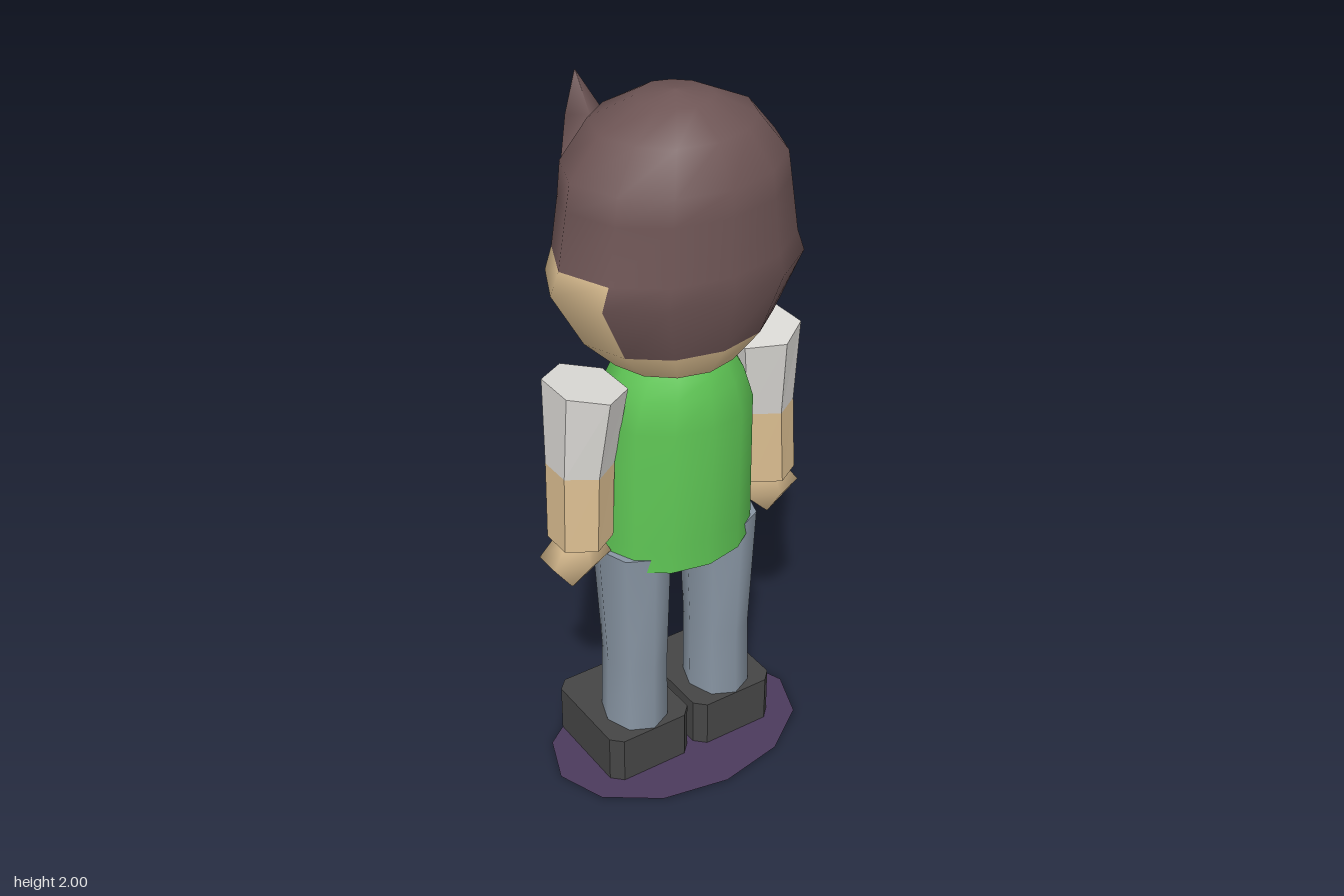
import * as THREE from 'three';

const mat = (name, color, extra = {}) => {
  const m = new THREE.MeshStandardMaterial({ color, ...extra });
  m.name = name;
  return m;
};
const M = {
  hair: mat('hair brown', 0x6e5555),
  skin: mat('light skin', 0xdabd90),
  face: mat('tanned face', 0xd89c54),
  green: mat('light green', 0x5fc655),
  vest: mat('vest green', 0x2f9e26),
  white: mat('white', 0xdcdad6),
  jeans: mat('denim', 0x8895a3),
  shoe: mat('shoe grey', 0x454545),
  base: mat('purple', 0x4b3a5c, { side: THREE.DoubleSide }),
  black: mat('black', 0x2b261e),
};

// Twelve-point body section; z4, z5, z6 shape the face/back half, lift raises those points
function bodyRing([y, w, zf, z4, z5, z6, lift = [0, 0, 0]]) {
  const c = 0.02, d = zf - c;
  const half = [
    [0, y, zf], [0.47 * w, y, c + 0.87 * d], [0.83 * w, y, c + 0.53 * d], [w, y, c],
    [0.83 * w, y + lift[0], z4], [0.45 * w, y + lift[1], z5], [0, y + lift[2], z6],
  ];
  const mirrored = half.slice(1, 6).reverse().map(([x, py, z]) => [-x, py, z]);
  return [...half, ...mirrored];
}

// Elliptical section with n points, optionally tilted sideways
function ellipse(n, cx, y, cz, rx, rz, slope = 0) {
  return Array.from({ length: n }, (_, i) => {
    const a = (i / n) * Math.PI * 2, x = rx * Math.sin(a);
    return [cx + x, y + slope * x, cz + rz * Math.cos(a)];
  });
}

// Skin over sections from bottom to top; colour(row, column) picks the material
function loft(name, rings, colour, flat = false) {
  const n = rings[0].length, pos = rings.flat(2), faces = new Map();
  const add = (m, ...idx) => {
    if (!faces.has(m)) faces.set(m, []);
    faces.get(m).push(...idx);
  };
  for (let r = 0; r < rings.length - 1; r++) {
    for (let k = 0; k < n; k++) {
      const a = r * n + k, b = r * n + (k + 1) % n;
      add(colour(r, k), a, b, b + n, a, b + n, a + n);
    }
  }
  [[rings[0], -1], [rings.at(-1), rings.length - 1]].forEach(([ring, row]) => {
    const start = pos.length / 3;
    const mid = [0, 1, 2].map((i) => ring.reduce((s, p) => s + p[i], 0) / n);
    pos.push(...ring.flat(), ...mid);
    for (let k = 0; k < n; k++) {
      const a = start + k, b = start + (k + 1) % n;
      if (row < 0) add(colour(row, k), b, a, start + n);
      else add(colour(row, k), a, b, start + n);
    }
  });
  let geo = new THREE.BufferGeometry();
  geo.setAttribute('position', new THREE.Float32BufferAttribute(pos, 3));
  const index = [], mats = [...faces.keys()];
  mats.forEach((m, i) => {
    geo.addGroup(index.length, faces.get(m).length, i);
    index.push(...faces.get(m));
  });
  geo.setIndex(index);
  if (flat) {
    const groups = geo.groups;
    geo = geo.toNonIndexed();
    geo.groups = groups;
  }
  geo.computeVertexNormals();
  const mesh = new THREE.Mesh(geo, mats);
  mesh.name = name;
  return mesh;
}

// Point on the face/back surface: u = 0 at the centre line, 2 at the side
function onSurface(rings, side, u, y, off) {
  const at = (ring) => {
    const k = Math.min(Math.floor(u), 1), t = u - k;
    return ring[6 - k].map((v, i) => v + (ring[5 - k][i] - v) * t);
  };
  let r = 0;
  while (r < rings.length - 2 && at(rings[r + 1])[1] < y) r++;
  const a = at(rings[r]), b = at(rings[r + 1]), t = (y - a[1]) / (b[1] - a[1]);
  const p = a.map((v, i) => v + (b[i] - v) * t);
  return [side * (p[0] + (u > 0 ? 0.55 * off : 0)), p[1], p[2] - 0.85 * off];
}

// Thin painted patch; rows are [y, u0, u1], rise tilts it along u
function patch(name, rings, side, rows, material, off = 0.005, rise = 0) {
  const pos = [], index = [], steps = 6;
  rows.forEach(([y, u0, u1], r) => {
    for (let i = 0; i <= steps; i++) {
      const u = u0 + ((u1 - u0) * i) / steps;
      pos.push(...onSurface(rings, side, u, y + rise * (u - u0), off));
      if (r && i) {
        const d = r * (steps + 1) + i, c = d - 1, b = d - steps - 1, a = b - 1;
        index.push(...(side < 0 ? [a, b, d, a, d, c] : [a, d, b, a, c, d]));
      }
    }
  });
  const geo = new THREE.BufferGeometry();
  geo.setAttribute('position', new THREE.Float32BufferAttribute(pos, 3));
  geo.setIndex(index);
  geo.computeVertexNormals();
  const mesh = new THREE.Mesh(geo, material);
  mesh.name = name;
  return mesh;
}

export function createModel() {
  const model = new THREE.Group();
  model.name = 'figure';
  const isBack = (k) => k >= 4 && k <= 7;
  const isSide = (k) => [2, 3, 8, 9].includes(k);

  // Head: hair, ears area and face share one surface
  const head = [
    [1.29, 0.18, 0.18, -0.10, -0.13, -0.14],
    [1.38, 0.27, 0.24, -0.11, -0.17, -0.20],
    [1.54, 0.36, 0.28, -0.11, -0.20, -0.295],
    [1.60, 0.335, 0.275, -0.11, -0.20, -0.278],
    [1.75, 0.31, 0.266, -0.11, -0.19, -0.23, [-0.02, 0.02, 0.03]],
    [1.82, 0.298, 0.262, -0.11, -0.185, -0.215],
    [1.92, 0.215, 0.205, -0.09, -0.15, -0.175],
    [1.975, 0.1, 0.11, -0.03, -0.065, -0.08],
    [1.99, 0.005, 0.025, 0.018, 0.016, 0.015],
  ].map(bodyRing);
  model.add(loft('head', head, (r, k) => {
    if (isBack(k)) return r < 4 ? M.face : M.hair;
    if (isSide(k)) return r < 3 ? M.skin : M.hair;
    return r < 1 ? M.skin : M.hair;
  }));

  // Hair tuft
  model.add(loft('hairTuft', [
    ellipse(4, -0.13, 1.80, -0.165, 0.08, 0.055),
    ellipse(4, -0.14, 1.90, -0.175, 0.05, 0.035),
    ellipse(4, -0.15, 2.0, -0.19, 0.002, 0.002),
  ], () => M.hair));

  // Torso with belt and dark vest panel
  const torso = [
    [0.70, 0.228, 0.19, -0.07, -0.125, -0.147],
    [0.78, 0.226, 0.19, -0.07, -0.125, -0.147],
    [1.13, 0.22, 0.20, -0.075, -0.13, -0.155],
    [1.22, 0.188, 0.185, -0.07, -0.12, -0.14],
    [1.265, 0.16, 0.172, -0.065, -0.105, -0.12],
    [1.295, 0.14, 0.16, -0.06, -0.095, -0.11],
  ].map(bodyRing);
  model.add(loft('torso', torso, (r, k) => {
    if (r < 0) return M.vest;
    if (!isBack(k) || r > 3) return M.green;
    return r === 0 ? M.black : M.vest;
  }));

  for (const s of [1, -1]) {
    const side = s > 0 ? 'left' : 'right';

    // Facial details
    model.add(patch(side + 'Eye', head, s,
      [[1.48, 0.35, 1.55], [1.54, 0.3, 1.6], [1.6, 0.3, 1.6], [1.61, 0.35, 1.5]], M.white));
    model.add(patch(side + 'Pupil', head, s,
      [[1.48, 0.78, 1.02], [1.54, 0.75, 1.0], [1.6, 0.75, 1.0], [1.61, 0.75, 1.0]], M.black, 0.009));
    model.add(patch(side + 'Eyebrow', head, s,
      [[1.69, 0.35, 1.3], [1.708, 0.35, 1.3]], M.black, 0.005, 0.02));
    model.add(patch(side + 'Mouth', head, s,
      [[1.4, 0, 0.5], [1.41, 0, 0.5]], M.hair));

    // White shirt strip, opening towards the neck
    model.add(patch(side + 'ShirtStrip', torso, s, [
      [0.74, 0, 0.3], [0.78, 0, 0.5], [0.95, 0, 0.45], [1.13, 0, 0.6],
      [1.22, 0, 1.0], [1.265, 0, 1.25],
    ], M.white));

    // Arm: sleeve above, bare forearm below
    model.add(loft(side + 'Arm', [
      ellipse(6, s * 0.296, 0.81, 0.018, 0.085, 0.09),
      ellipse(6, s * 0.286, 1.03, 0.01, 0.087, 0.095),
      ellipse(6, s * 0.27, 1.265, 0.018, 0.104, 0.122, s * 0.15),
    ], (r) => (r < 1 ? M.skin : M.white), true));

    // Hand
    model.add(loft(side + 'Hand', [
      ellipse(6, s * 0.32, 0.65, 0.01, 0.004, 0.004),
      ellipse(6, s * 0.308, 0.75, 0.01, 0.1, 0.078),
      ellipse(6, s * 0.3, 0.815, 0.01, 0.055, 0.05),
    ], () => M.skin));

    // Leg
    model.add(loft(side + 'Leg', [
      ellipse(8, s * 0.14, 0.13, 0.025, 0.09, 0.105),
      ellipse(8, s * 0.137, 0.36, 0.025, 0.087, 0.102),
      ellipse(8, s * 0.14, 0.74, 0.02, 0.102, 0.122),
    ], () => M.jeans));

    // Shoe with bevelled corners
    const x0 = 0.01, x1 = 0.272, z0 = -0.19, z1 = 0.132, c = 0.03;
    const outline = [
      [x0 + c, z1], [x1 - c, z1], [x1, z1 - c], [x1, z0 + c],
      [x1 - c, z0], [x0 + c, z0], [x0, z0 + c], [x0, z1 - c],
    ];
    const shape = new THREE.Shape(outline.map(([x, z]) => new THREE.Vector2(s * x, -z)));
    const shoe = new THREE.Mesh(
      new THREE.ExtrudeGeometry(shape, { depth: 0.148, bevelEnabled: false }), M.shoe);
    shoe.rotation.x = -Math.PI / 2;
    shoe.name = side + 'Shoe';
    model.add(shoe);
  }

  // Flat ground disc
  const disc = new THREE.Mesh(new THREE.CircleGeometry(1, 12), M.base);
  disc.scale.set(0.385, 0.272, 1);
  disc.rotation.x = -Math.PI / 2;
  disc.position.set(0, 0.006, 0.02);
  disc.name = 'groundDisc';
  model.add(disc);
  return model;
}
